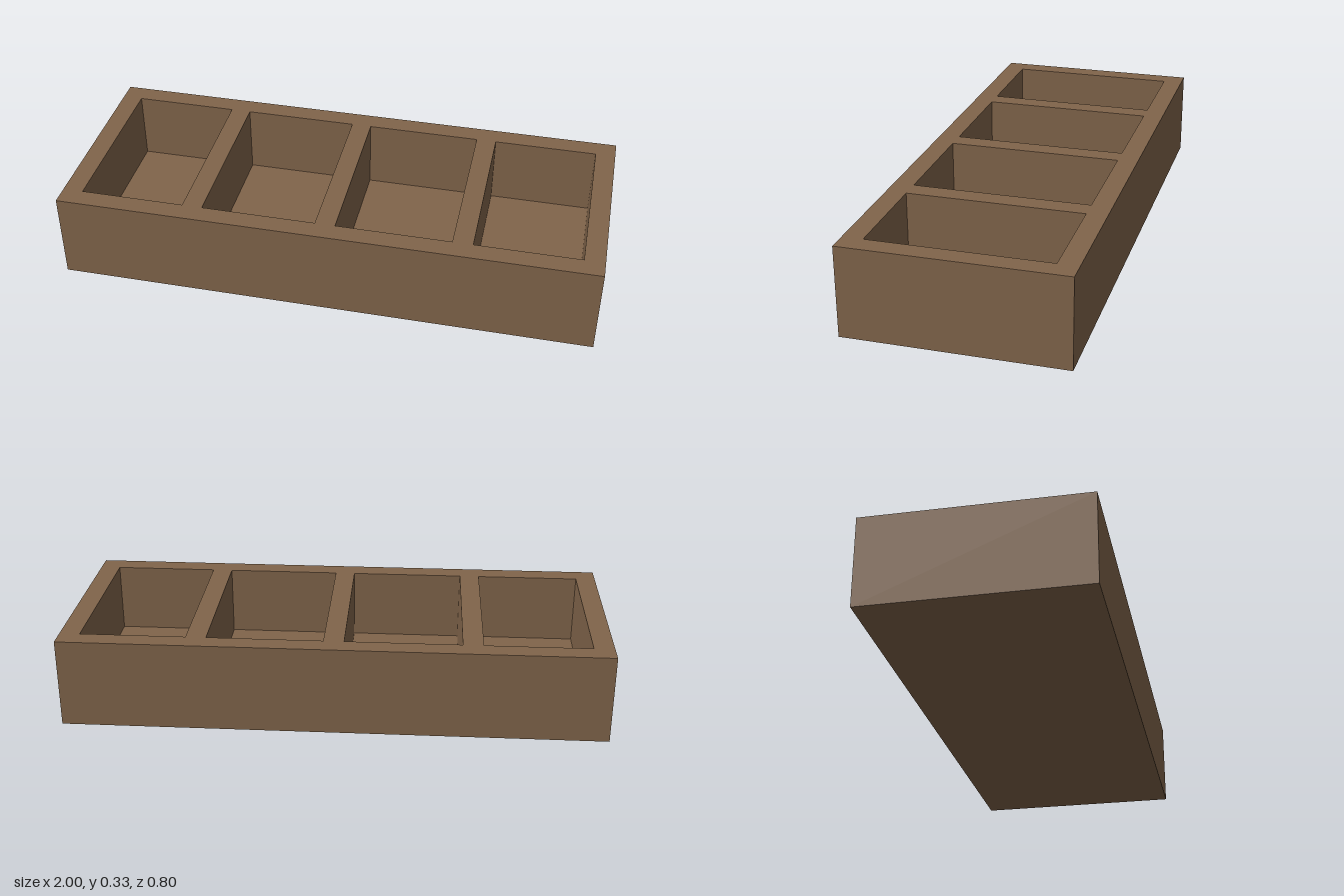
import * as THREE from 'three';

const W = 2, H = 0.333, D = 0.8;   // outer size
const WALL = 0.075, FLOOR = 0.068; // wall, divider and floor thickness
const COUNT = 4;                   // compartments in a row

const rectangle = (Type, x0, x1, z) => {
  const r = new Type();
  r.moveTo(x0, -z).lineTo(x1, -z).lineTo(x1, z).lineTo(x0, z).closePath();
  return r;
};

// Box without its top face, standing on y = 0
function openBox(w, h, d) {
  const g = new THREE.BoxGeometry(w, h, d).translate(0, h / 2, 0);
  const index = Array.from(g.index.array);
  index.splice(12, 6);
  g.setIndex(index);
  g.clearGroups();
  return g;
}

export function createModel() {
  const group = new THREE.Group();
  group.name = 'compartmentTray';
  const wood = new THREE.MeshStandardMaterial({ color: 0x80644a });
  wood.name = 'brown wood';

  const add = (name, geometry) => {
    const mesh = new THREE.Mesh(geometry, wood);
    mesh.name = name;
    group.add(mesh);
    return mesh;
  };

  // Outer sides and underside
  add('outerShell', openBox(W, H, D));

  // Dividers sit on even quarters, so the end compartments are a little narrower
  const rim = rectangle(THREE.Shape, -W / 2, W / 2, D / 2);
  const pitch = W / COUNT, depth = D / 2 - WALL;
  for (let i = 0; i < COUNT; i++) {
    const x0 = -W / 2 + i * pitch + (i === 0 ? WALL : WALL / 2);
    const x1 = -W / 2 + (i + 1) * pitch - (i === COUNT - 1 ? WALL : WALL / 2);
    rim.holes.push(rectangle(THREE.Path, x0, x1, depth));

    // Compartment walls and floor: an open box turned inside out
    const inside = openBox(x1 - x0, H - FLOOR, depth * 2).scale(-1, 1, 1);
    inside.computeVertexNormals();
    add(`compartment${i + 1}`, inside).position.set((x0 + x1) / 2, FLOOR, 0);
  }

  // Top edge of walls and dividers
  add('rim', new THREE.ShapeGeometry(rim).rotateX(-Math.PI / 2).translate(0, H, 0));

  return group;
}
